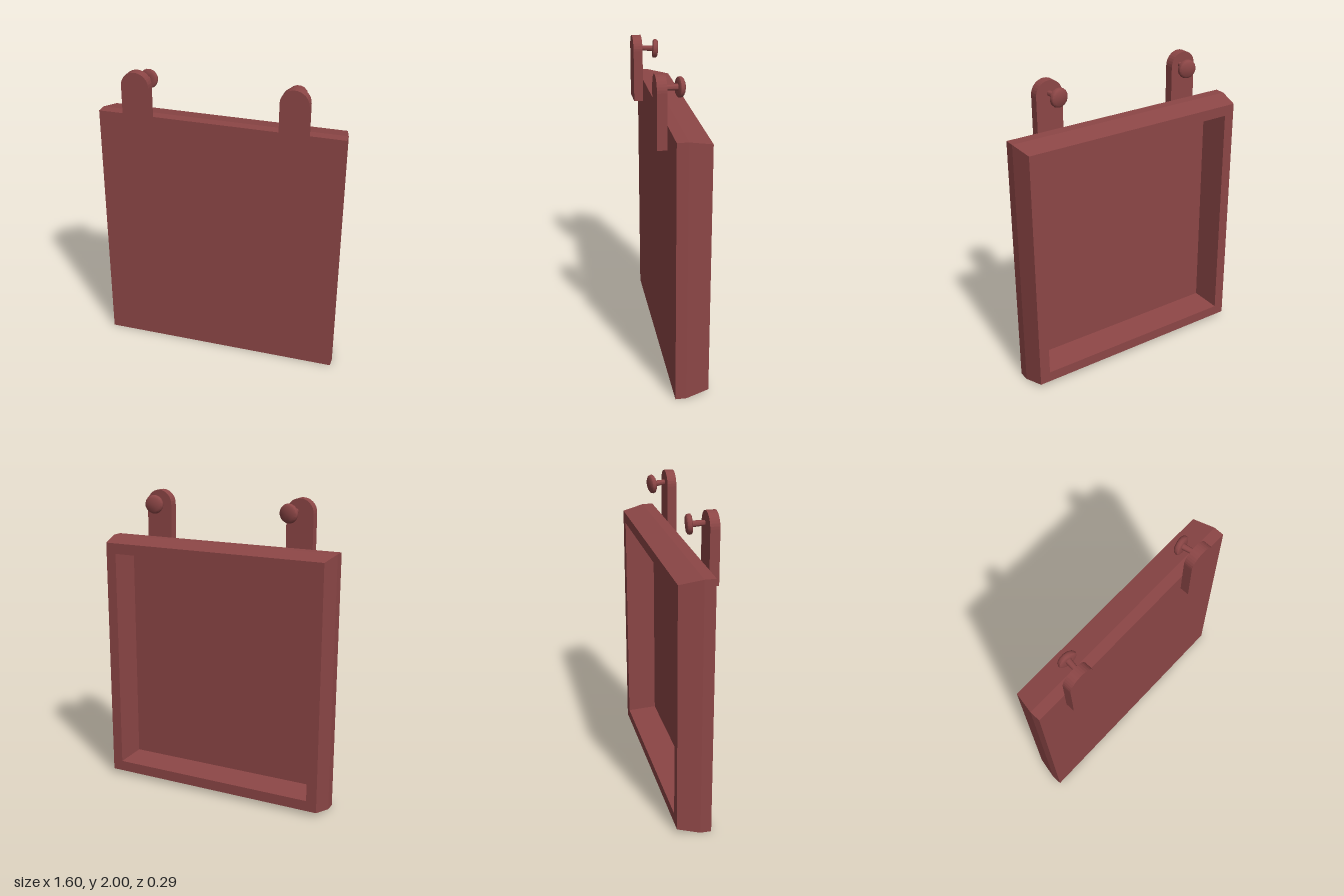
import * as THREE from 'three';
import { toCreasedNormals } from 'three/addons/utils/BufferGeometryUtils.js';

const material = new THREE.MeshStandardMaterial({ color: 0x8c4646 });

// Rectangular loops joined front to back, capped at both ends
function loftRects(loops, cy) {
  const rings = loops.map(([hx, hy, z]) =>
    [[-1, -1], [1, -1], [1, 1], [-1, 1]].map(([sx, sy]) => [sx * hx, cy + sy * hy, z]));
  const pos = [];
  const quad = (a, b, c, d) => pos.push(...a, ...b, ...c, ...a, ...c, ...d);
  quad(...rings[0]);
  for (let r = 0; r + 1 < rings.length; r++) {
    for (let i = 0; i < 4; i++) {
      const j = (i + 1) % 4;
      quad(rings[r][i], rings[r + 1][i], rings[r + 1][j], rings[r][j]);
    }
  }
  quad(...rings[rings.length - 1].slice().reverse());
  const geo = new THREE.BufferGeometry();
  geo.setAttribute('position', new THREE.Float32BufferAttribute(pos, 3));
  geo.computeVertexNormals();
  return geo;
}

function addMesh(parent, name, geometry) {
  const mesh = new THREE.Mesh(geometry, material);
  mesh.name = name;
  parent.add(mesh);
  return mesh;
}

// Flat strap with a rounded top
function strapGeometry() {
  const r = 0.09, bottom = 1.57, shoulder = 1.91;
  const shape = new THREE.Shape();
  shape.moveTo(-r, bottom);
  shape.lineTo(r, bottom);
  shape.lineTo(r, shoulder);
  shape.absarc(0, shoulder, r, 0, Math.PI, false);
  return new THREE.ExtrudeGeometry(shape, { depth: 0.06, bevelEnabled: false, curveSegments: 8 });
}

// Tapered stem and rounded button head turned around one axis
function pegGeometry() {
  const profile = [
    [0, -0.003], [0.016, -0.003], [0.02, 0.076], [0.05, 0.074], [0.06, 0.08],
    [0.062, 0.091], [0.058, 0.103], [0.045, 0.111], [0, 0.114],
  ].map(([x, y]) => new THREE.Vector2(x, y));
  return toCreasedNormals(new THREE.LatheGeometry(profile, 16), 0.7);
}

export function createModel() {
  const model = new THREE.Group();
  model.name = 'hangingPanel';

  // Shallow tray, open at the back, with chamfered outer edges
  addMesh(model, 'panel', loftRects([
    [0.8, 0.845, 0.07],
    [0.8, 0.845, 0.0],
    [0.77, 0.815, -0.145],
    [0.7, 0.745, -0.145],
    [0.68, 0.725, 0.05],
  ], 0.845));

  // Two hangers, each a strap with a slightly tilted peg behind it
  const up = new THREE.Vector3(0, 1, 0);
  const hangers = [
    { name: 'rightHanger', strapX: -0.515, pegX: -0.49, tilt: 0.14 },
    { name: 'leftHanger', strapX: 0.49, pegX: 0.49, tilt: -0.15 },
  ];
  for (const { name, strapX, pegX, tilt } of hangers) {
    const hanger = new THREE.Group();
    hanger.name = name;
    addMesh(hanger, 'strap', strapGeometry()).position.set(strapX, 0, 0.085);
    const peg = addMesh(hanger, 'peg', pegGeometry());
    peg.position.set(pegX, 1.92, 0.085);
    peg.quaternion.setFromUnitVectors(up, new THREE.Vector3(tilt, -0.06, -1).normalize());
    model.add(hanger);
  }
  return model;
}
